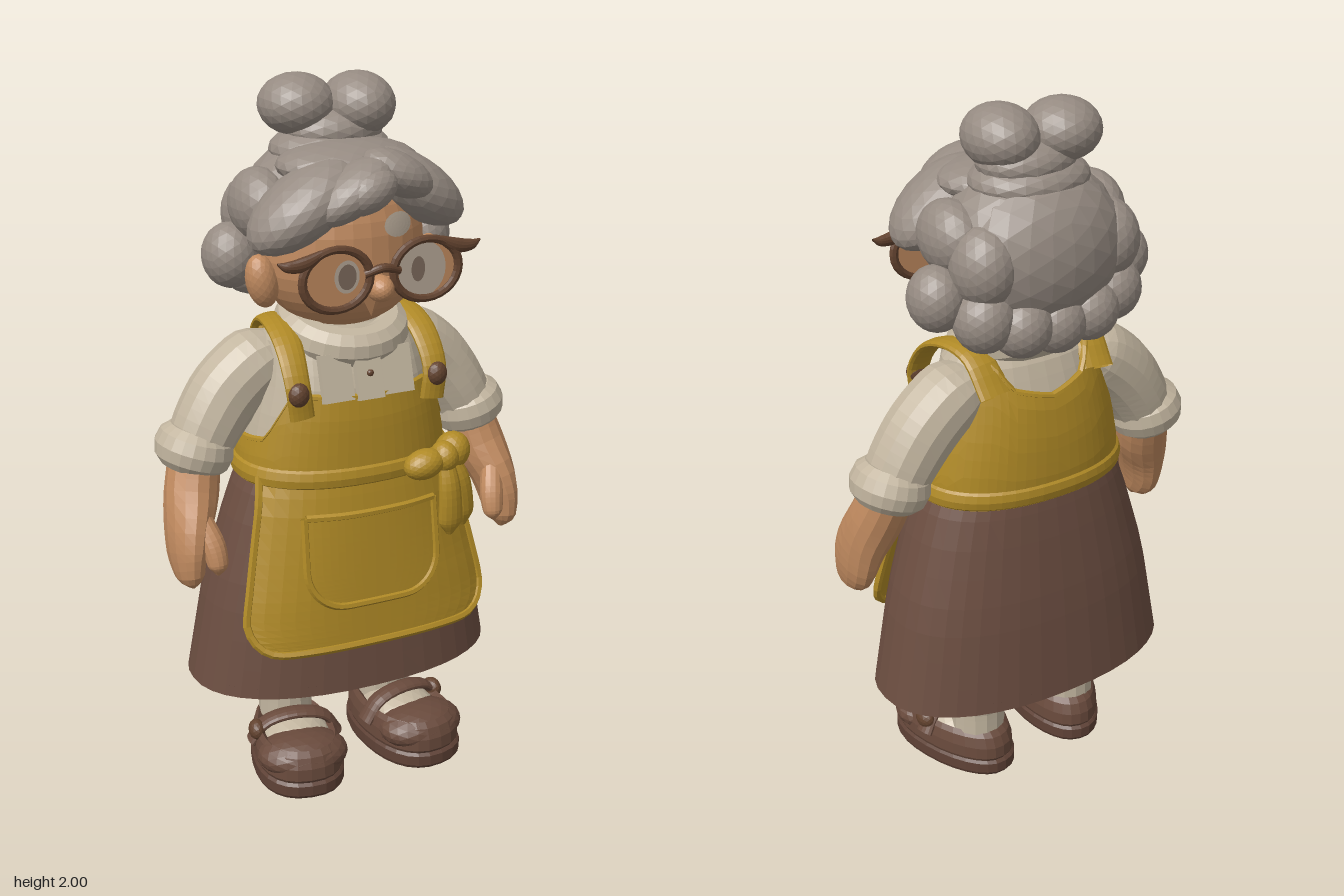
import * as THREE from 'three';

const mat = (name, color) => new THREE.MeshStandardMaterial({ name, color, flatShading: true, side: THREE.DoubleSide });
const M = {
  hair: mat('greyHair', 0x968b82), skin: mat('skin', 0xc08a5f), cloth: mat('creamCloth', 0xc2b59f),
  apron: mat('mustardApron', 0xb08a26), skirt: mat('brownSkirt', 0x6c4e41), shoe: mat('shoeLeather', 0x694a3c),
  sole: mat('shoeSole', 0x5f4236), dark: mat('darkBrown', 0x63432f), eye: mat('eyeWhite', 0xb5a796), iris: mat('iris', 0x7c6a5c),
};
const lerp = THREE.MathUtils.lerp, TAU = Math.PI * 2;
const spow = (v, e) => Math.sign(v) * Math.abs(v) ** e;

// Surface grid from f(u, v), u and v in 0..1
function grid(nu, nv, f) {
  const pos = [], idx = [];
  for (let i = 0; i <= nu; i++) for (let j = 0; j <= nv; j++) pos.push(...f(i / nu, j / nv));
  for (let i = 0; i < nu; i++) for (let j = 0; j < nv; j++) {
    const a = i * (nv + 1) + j, b = a + nv + 1;
    idx.push(a, a + 1, b, a + 1, b + 1, b);
  }
  const g = new THREE.BufferGeometry();
  g.setAttribute('position', new THREE.Float32BufferAttribute(pos, 3));
  g.setIndex(idx);
  g.computeVertexNormals();
  return g;
}

// Swept oval tube; each point is [x, y, z, radiusA, radiusB]
function limb(pts, ref = [0, 0, 1], nu = 14, nv = 14) {
  const path = new THREE.CatmullRomCurve3(pts.map(p => new THREE.Vector3(p[0], p[1], p[2])));
  const rad = new THREE.CatmullRomCurve3(pts.map(p => new THREE.Vector3(p[3], p[4] ?? p[3], 0)));
  const axis = new THREE.Vector3(...ref);
  return grid(nu, nv, (u, v) => {
    const t = path.getTangent(u), r = rad.getPoint(u);
    const n1 = t.clone().cross(axis).normalize(), n2 = t.clone().cross(n1);
    return path.getPoint(u).addScaledVector(n1, r.x * Math.cos(v * TAU)).addScaledVector(n2, r.y * Math.sin(v * TAU)).toArray();
  });
}

// Cross-section rows [y, halfWidth, frontZ, backZ], bottom to top
const BODY = [[.88, .295, .19, -.2], [1, .285, .185, -.205], [1.1, .265, .18, -.2], [1.2, .24, .165, -.185], [1.3, .225, .12, -.15], [1.345, .195, .08, -.12], [1.385, .13, .06, -.09], [1.42, .1, .05, -.08]];
const SKIRT = [[.31, .457, .24, -.285], [.6, .405, .222, -.26], [.86, .33, .2, -.222], [.97, .28, .18, -.2]];
function section(rows, y) {
  let i = 0;
  while (i < rows.length - 2 && y > rows[i + 1][0]) i++;
  const a = rows[i], b = rows[i + 1], t = (y - a[0]) / (b[0] - a[0]);
  const [rx, zf, zb] = [1, 2, 3].map(k => lerp(a[k], b[k], t));
  return { rx, zc: (zf + zb) / 2, rz: (zf - zb) / 2 };
}
function around(rows, a, y, off = 0) {
  const s = section(rows, y);
  return [(s.rx + off) * spow(Math.sin(a), .88), y, s.zc + (s.rz + off) * spow(Math.cos(a), .88)];
}
const skirtFront = (x, y, off) => {
  const s = section(SKIRT, y), k = Math.min(1, Math.abs(x) / (s.rx + off));
  const flare = .25 * x * x * THREE.MathUtils.clamp((.85 - y) / .35, 0, 1);
  return [x, y, s.zc + (s.rz + off) * (1 - k ** 2.27) ** .44 + flare];
};

// Round-cornered cloth panel lying on the front of the skirt, with its hem path
function panel(cx, yb, yt, wb, wt, r, off) {
  const at = (u, side) => {
    const y = lerp(yb, yt, u * u), k = Math.max(0, (yb + r - y) / r);
    const w = lerp(wb, wt, u * u) - r + r * Math.sqrt(Math.max(0, 1 - k * k));
    return skirtFront(cx + side * w, y, off);
  };
  const edge = [];
  for (let i = 12; i >= 0; i--) edge.push(at(i / 12, -1));
  for (let i = 1; i < 6; i++) edge.push(at(0, i / 3 - 1));
  for (let i = 0; i <= 12; i++) edge.push(at(i / 12, 1));
  return { face: grid(18, 18, (u, v) => at(u, v * 2 - 1)), edge: edge.map(p => new THREE.Vector3(...p)) };
}

export function createModel() {
  const root = new THREE.Group();
  const add = (name, geo, m, parent = root) => {
    const mesh = new THREE.Mesh(geo, m);
    mesh.name = name;
    parent.add(mesh);
    return mesh;
  };
  const ball = (name, m, p, r, rz = 0, parent = root, detail = 3) => {
    const b = add(name, new THREE.IcosahedronGeometry(1, detail), m, parent);
    b.position.set(...p); b.scale.set(...r); b.rotation.z = rz;
    return b;
  };
  const tube = (name, pts, r, m) => add(name, new THREE.TubeGeometry(new THREE.CatmullRomCurve3(pts), 60, r, 6), m);
  const disc = (name, m, x, y, z, rx, ry) => {
    const d = add(name, new THREE.CircleGeometry(1, 24), m);
    d.position.set(x, y, z); d.scale.set(rx, ry, 1);
  };

  // Skirt and blouse
  add('skirt', grid(8, 40, (u, v) => around(SKIRT, v * TAU, lerp(.31, .97, u))), M.skirt);
  add('skirtLining', grid(1, 40, (u, v) => around(SKIRT, v * TAU, .31 + .03 * (1 - u), -.012 * u)), M.skirt);
  add('blouse', grid(14, 32, (u, v) => around(BODY, v * TAU, lerp(.88, 1.42, u))), M.cloth);

  // Apron bib: top edge height by angle from the front
  const topLine = [[0, 1.17], [.85, 1.18], [1.15, 1.05], [1.75, 1.03], [2, 1.2], [2.15, 1.32], [2.5, 1.32], [2.75, 1.25], [3.15, 1.22]];
  const bibTop = a => {
    const i = topLine.findIndex((p, k) => a <= topLine[k + 1][0]), [p, q] = [topLine[i], topLine[i + 1]];
    return lerp(p[1], q[1], (a - p[0]) / (q[0] - p[0]));
  };
  add('apronBib', grid(8, 64, (u, v) => {
    const a = (v - .5) * TAU;
    return around(BODY, a, lerp(.92, bibTop(Math.abs(a)), u), .017);
  }), M.apron);
  add('apronBibEdge', grid(6, 64, (u, v) => {
    const a = (v - .5) * TAU, f = u * TAU;
    return around(BODY, a, bibTop(Math.abs(a)) - .008 * Math.cos(f), .012 - .009 * Math.sin(f));
  }), M.apron);
  add('waistband', grid(8, 48, (u, v) => around(BODY, v * TAU, .948 - .03 * Math.cos(u * TAU), .014 - .014 * Math.sin(u * TAU))), M.apron);

  // Apron skirt and pocket
  const front = panel(0, .46, .95, .385, .285, .11, .018);
  add('apronPanel', front.face, M.apron);
  tube('apronHem', front.edge, .012, M.apron);
  const pocket = panel(-.01, .59, .85, .2, .195, .11, .034);
  add('pocket', pocket.face, M.apron);
  tube('pocketSeam', pocket.edge, .011, M.apron);
  tube('pocketTop', [-.2, -.1, 0, .1, .185].map(x => new THREE.Vector3(...skirtFront(x, .85, .034))), .011, M.apron);

  // Tied bow at the waist
  ball('bowKnot', M.apron, [.2, .98, .245], [.04, .045, .045]);
  ball('bowLoop', M.apron, [.135, .97, .25], [.06, .042, .045], .2);
  ball('bowLoop', M.apron, [.235, .985, .225], [.05, .055, .05], -.4);
  add('bowTail', limb([[.2, .98, .25, .02], [.205, .9, .27, .032, .024], [.21, .8, .27, .036, .022], [.21, .755, .265, .01]]), M.apron);
  add('bowTail', limb([[.22, .98, .24, .02], [.245, .9, .25, .034, .026], [.262, .81, .245, .033, .024], [.265, .765, .24, .01]]), M.apron);

  // Collar, placket and its button
  const collar = add('collar', new THREE.TorusGeometry(.13, .055, 10, 28), M.cloth);
  collar.position.set(0, 1.327, .005); collar.rotation.x = Math.PI / 2 + .3; collar.scale.set(1.03, .98, 1);
  for (const [x, w, z] of [[0, .075, .175], [-.09, .09, .16], [.09, .09, .16]]) {
    const p = add('placket', new THREE.BoxGeometry(w, .13, .02), M.cloth);
    p.position.set(x, 1.225, z); p.rotation.x = -.3;
  }
  ball('shirtButton', M.dark, [0, 1.235, .187], [.01, .01, .008], 0, root, 1);

  for (const s of [1, -1]) {
    const side = s > 0 ? 'left' : 'right';
    // Straps with buttons
    add(side + 'Strap', limb([[.195 * s, 1.13, .175, .012, .036], [.205 * s, 1.22, .168, .014, .036], [.2 * s, 1.31, .1, .014, .04], [.19 * s, 1.348, 0, .014, .042],
      [.175 * s, 1.335, -.09, .016, .046], [.165 * s, 1.25, -.165, .012, .05]], [1, 0, 0], 20), M.apron);
    ball(side + 'StrapButton', M.dark, [.207 * s, 1.2, .178], [.03, .034, .026], 0, root, 2);

    // Arms
    add(side + 'Sleeve', limb([[.17 * s, 1.27, -.05, .05, .08], [.24 * s, 1.23, -.05, .1, .1], [.32 * s, 1.16, -.05, .104, .1], [.378 * s, 1.08, -.045, .098, .1], [.42 * s, 1, -.04, .088, .095]]), M.cloth);
    const cuff = add(side + 'Cuff', new THREE.TorusGeometry(.071, .046, 10, 22), M.cloth);
    cuff.position.set(.425 * s, 1.01, -.042); cuff.rotation.set(Math.PI / 2, .3 * s, 0); cuff.scale.set(.95, 1, 1.3);
    add(side + 'ForearmAndHand', limb([[.425 * s, 1, -.04, .07, .08], [.45 * s, .9, -.005, .075, .08], [.478 * s, .81, .035, .062, .088],
      [.49 * s, .74, .055, .05, .086], [.49 * s, .68, .075, .036, .06], [.485 * s, .65, .08, .005, .01]]), M.skin);
    add(side + 'Thumb', limb([[.455 * s, .85, .07, .03], [.435 * s, .78, .11, .034], [.43 * s, .725, .13, .028], [.432 * s, .7, .135, .004]]), M.skin);

    // Legs and socks
    add(side + 'Leg', limb([[.158 * s, .235, -.05, .074], [.155 * s, .3, -.05, .082], [.15 * s, .7, -.04, .1]]), M.skin);
    add(side + 'Sock', limb([[.16 * s, .07, -.05, .08], [.16 * s, .19, -.05, .078], [.16 * s, .235, -.05, .088], [.16 * s, .243, -.05, .07]]), M.cloth);

    // Shoe, built at its own origin and turned out
    const shoe = new THREE.Group();
    shoe.name = side + 'Shoe';
    shoe.position.set(.166 * s, 0, 0); shoe.rotation.y = .17 * s;
    root.add(shoe);
    const ring = (a, y, k) => [(.127 + .022 * Math.cos(a)) * k * spow(Math.sin(a), .85), y, .047 + .215 * k * spow(Math.cos(a), .92)];
    const rings = (rows, m, name) => add(name, grid(rows.length - 1, 28, (u, v) => ring(v * TAU, ...rows[Math.round(u * (rows.length - 1))])), m, shoe);
    rings([[0, 0], [0, .97], [.01, 1], [.04, 1], [.048, .96]], M.sole, 'sole');
    rings([[.045, .94], [.055, .97], [.09, .96], [.12, .9], [.134, .82], [.12, .72]], M.shoe, 'upper');
    ball('toeCap', M.shoe, [0, .09, .15], [.133, .062, .1], 0, shoe);
    ball('sockFoot', M.cloth, [0, .085, .045], [.108, .078, .14], 0, shoe);
    add('shoeStrap', limb([[-.13, .09, .05, .014, .03], [-.088, .148, .055, .014, .03], [0, .17, .06, .014, .03], [.088, .148, .055, .014, .03], [.13, .09, .05, .014, .03]]), M.shoe, shoe);
    ball('shoeButton', M.dark, [.115 * s, .13, .06], [.024, .03, .034], 0, shoe, 2);

    // Ears and glasses
    ball(side + 'Ear', M.skin, [.245 * s, 1.48, .03], [.044, .075, .045], -.2 * s);
    const rim = add(side + 'GlassesRim', new THREE.TorusGeometry(.085, .0115, 8, 28), M.dark);
    rim.position.set(.13 * s, 1.525, .25); rim.scale.set(1.13, .95, 1);
    disc(side + 'Lens', M.skin, .13 * s, 1.525, .246, .096, .081);
    add(side + 'GlassesWing', limb([[.17 * s, 1.6, .25, .01], [.22 * s, 1.578, .25, .02, .014], [.265 * s, 1.575, .248, .015, .012], [.292 * s, 1.585, .245, .003]]), M.dark);
  }
  add('glassesBridge', limb([[-.05, 1.53, .25, .011], [0, 1.545, .26, .012], [.05, 1.53, .25, .011]]), M.dark);

  // Eyes seen in the lenses
  disc('leftEye', M.eye, .118, 1.525, .25, .07, .076);
  disc('leftIris', M.iris, .105, 1.528, .253, .02, .034);
  disc('rightEye', M.eye, -.1, 1.53, .25, .036, .044);
  disc('rightIris', M.iris, -.1, 1.53, .253, .026, .034);

  // Head, fuller at the cheeks
  const headC = [0, 1.57, 0], headR = [.23, .245, .192];
  const headGeo = new THREE.SphereGeometry(1, 28, 20), hp = headGeo.attributes.position;
  for (let i = 0; i < hp.count; i++) {
    const k = 1 + .16 * Math.max(0, -hp.getY(i));
    hp.setXYZ(i, hp.getX(i) * k * headR[0], hp.getY(i) * headR[1], hp.getZ(i) * k * headR[2]);
  }
  add('head', headGeo, M.skin).position.set(...headC);
  add('leftBrow', grid(4, 20, (u, v) => {
    const x = .085 + .047 * u * Math.cos(v * TAU), y = 1.632 - .032 * u * Math.sin(v * TAU);
    return [x, y, .005 + headR[2] * Math.sqrt(1 - (x / headR[0]) ** 2 - ((y - headC[1]) / headR[1]) ** 2)];
  }), M.eye);

  // Nose and mouth
  ball('nose', M.skin, [0, 1.485, .24], [.036, .036, .045]);
  ball('noseBridge', M.skin, [0, 1.5, .2], [.025, .035, .04]);
  for (const s of [1, -1]) ball('nostril', M.skin, [.045 * s, 1.48, .205], [.026, .022, .03]);
  const lip = add('upperLip', new THREE.ConeGeometry(.035, .07, 6), M.skin);
  lip.position.set(0, 1.43, .19); lip.rotation.x = Math.PI;

  // Hair: [centre, radii, tilt]
  const hair = [
    [[0, 1.68, -.07], [.24, .16, .19]], [[0, 1.62, -.13], [.24, .21, .155]], [[0, 1.8, -.07], [.17, .07, .14]],
    [[0, 1.78, .04], [.2, .062, .14]], [[0, 1.44, -.2], [.085, .085, .08]],
    [[-.165, 1.695, .12], [.175, .085, .12], .6], [[.165, 1.712, .105], [.165, .08, .115], -.62],
    [[-.06, 1.735, .185], [.13, .062, .09], .55], [[.085, 1.765, .165], [.11, .056, .085], -.5],
    [[-.03, 1.74, .225], [.085, .055, .06], .4],
  ];
  for (const s of [1, -1]) hair.push(
    [[.29 * s, 1.53, -.08], [.078, .09, .085]], [[.22 * s, 1.67, -.04], [.08, .1, .115]],
    [[.19 * s, 1.62, -.15], [.09, .11, .1]], [[.2 * s, 1.48, -.165], [.085, .09, .085]],
    [[.105 * s, 1.45, -.195], [.085, .085, .085]]);
  for (const [p, r, tilt] of hair) ball('hairCurl', M.hair, p, r, tilt);
  ball('bunBase', M.hair, [.01, 1.85, -.07], [.14, .07, .115]);
  ball('rightBun', M.hair, [-.088, 1.918, -.09], [.105, .083, .108]);
  ball('leftBun', M.hair, [.075, 1.914, -.05], [.098, .086, .118]);
  return root;
}
